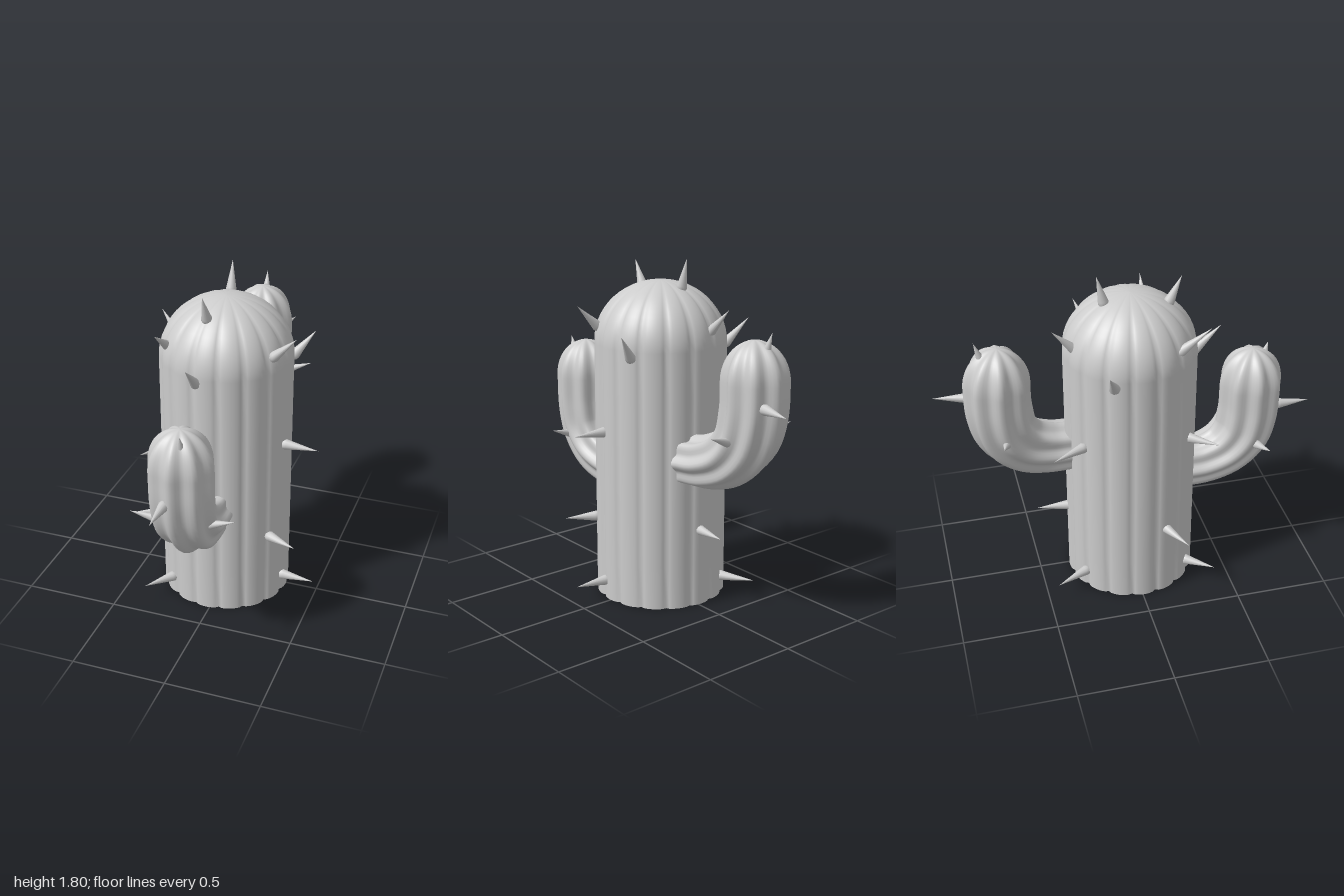
import * as THREE from 'three';

const material = new THREE.MeshStandardMaterial({ color: 0xcccccc, side: THREE.DoubleSide });
const V = (x, y, z) => new THREE.Vector3(x, y, z);

// Ribbed tube along a curve, widening from r0 to r1 and closed by a dome at its end
function ribbedStem(name, curve, { r0, r1, dome, sides, straight, rib }) {
  const rings = [];
  for (let i = 0; i < straight; i++) {
    const k = i / straight;
    rings.push([k * (1 - dome), THREE.MathUtils.lerp(r0, r1, THREE.MathUtils.smoothstep(k, 0, 0.8))]);
  }
  const domeSteps = 14;
  for (let i = 0; i <= domeSteps; i++) {
    const a = (i / domeSteps) * Math.PI / 2;
    rings.push([Math.min(1, 1 - dome + dome * Math.sin(a)), r1 * Math.cos(a) + 1e-4]);
  }
  const pos = [], index = [];
  rings.forEach(([t, r], i) => {
    const c = curve.getPointAt(t), T = curve.getTangentAt(t);
    const S = V(1, 0, 0).addScaledVector(T, -T.x).normalize();
    const B = T.clone().cross(S);
    for (let j = 0; j < sides; j++) {
      const a = (j / sides) * Math.PI * 2, q = r * rib(a);
      const p = c.clone().addScaledVector(S, q * Math.cos(a)).addScaledVector(B, q * Math.sin(a));
      pos.push(p.x, p.y, p.z);
      if (i === rings.length - 1) continue;
      const k = (j + 1) % sides, lo = i * sides, hi = lo + sides;
      index.push(lo + j, lo + k, hi + j, lo + k, hi + k, hi + j);
    }
  });
  const g = new THREE.BufferGeometry();
  g.setAttribute('position', new THREE.Float32BufferAttribute(pos, 3));
  g.setIndex(index);
  g.computeVertexNormals();
  const mesh = new THREE.Mesh(g, material);
  mesh.name = name;
  return mesh;
}

// Thorn with a rounded root, pointing from base to tip
function thorn(base, tip, r = 0.028) {
  const a = V(...base), d = V(...tip).sub(a), len = d.length();
  const profile = [[0, -r], [0.5 * r, -0.85 * r], [0.87 * r, -0.5 * r], [r, 0], [0.92 * r, 0.5 * r], [0, len]];
  const mesh = new THREE.Mesh(
    new THREE.LatheGeometry(profile.map(p => new THREE.Vector2(...p)), 12), material);
  mesh.position.copy(a);
  mesh.quaternion.setFromUnitVectors(V(0, 1, 0), d.normalize());
  mesh.name = 'thorn';
  return mesh;
}

export function createModel() {
  const group = new THREE.Group();
  group.name = 'cactus';

  // Trunk: 16 rounded ribs with narrow creases
  const cx = -0.02, cz = 0.008, R = 0.346;
  const trunkRib = a => 0.955 + 0.045 * Math.sqrt(Math.abs(Math.cos(8 * a)));
  group.add(ribbedStem('trunk', new THREE.LineCurve3(V(cx, 0, cz), V(cx, 1.68, cz)),
    { r0: R, r1: R, dome: 0.19, sides: 128, straight: 6, rib: trunkRib }));

  // Flat underside following the ribs
  const outline = [];
  for (let j = 0; j < 128; j++) {
    const a = (j / 128) * Math.PI * 2, q = R * trunkRib(a);
    outline.push(new THREE.Vector2(q * Math.cos(a), q * Math.sin(a)));
  }
  const underside = new THREE.Mesh(new THREE.ShapeGeometry(new THREE.Shape(outline)), material);
  underside.rotation.x = Math.PI / 2;
  underside.position.set(cx, 0, cz);
  underside.name = 'underside';
  group.add(underside);

  // Arms: eight soft lobes, bending outward then up
  const armRib = a => 0.92 + 0.08 * Math.cos(8 * a);
  const arm = (name, pts) => ribbedStem(name, new THREE.CatmullRomCurve3(pts.map(p => V(...p))),
    { r0: 0.137, r1: 0.17, dome: 0.22, sides: 64, straight: 24, rib: armRib });
  group.add(arm('frontArm', [[-0.015, 0.6, 0.28], [-0.015, 0.61, 0.42], [-0.015, 0.665, 0.55],
    [-0.017, 0.77, 0.635], [-0.018, 0.9, 0.665], [-0.018, 1.05, 0.67], [-0.018, 1.265, 0.675]]));
  group.add(arm('backArm', [[0.025, 0.795, -0.285], [0.01, 0.81, -0.42], [-0.015, 0.865, -0.55],
    [-0.035, 0.965, -0.64], [-0.045, 1.1, -0.675], [-0.047, 1.25, -0.68], [-0.047, 1.467, -0.668]]));

  // Trunk thorns: rings of three, levels repeated at two heights
  const thorns = new THREE.Group();
  thorns.name = 'thorns';
  const add = (base, tip, r) => thorns.add(thorn(base, tip, r));
  for (const y of [0.095, 0.915]) {
    add([0.315, y, 0.055], [0.497, y, 0.07]);
    add([-0.24, y, 0.27], [-0.35, y, 0.41]);
    add([-0.2, y, -0.28], [-0.29, y, -0.45]);
  }
  add([-0.33, 0.415, 0.13], [-0.5, 0.415, 0.21]);
  add([0.28, 0.415, 0.18], [0.436, 0.415, 0.25]);
  add([-0.01, 0.415, -0.325], [0, 0.415, -0.504]);

  // Thorns around the dome
  add([-0.065, 1.335, 0.34], [-0.066, 1.46, 0.475]);
  add([0.295, 1.335, -0.145], [0.392, 1.46, -0.2]);
  add([-0.34, 1.335, -0.145], [-0.455, 1.464, -0.195]);
  add([0.275, 1.45, 0.155], [0.392, 1.563, 0.165]);
  add([-0.26, 1.45, 0.205], [-0.268, 1.564, 0.36]);
  add([-0.1, 1.44, -0.29], [-0.12, 1.564, -0.407]);
  add([-0.055, 1.62, 0.2], [-0.055, 1.757, 0.263]);
  add([-0.045, 1.65, -0.13], [-0.048, 1.8, -0.166]);

  // Arm thorns
  add([-0.05, 0.92, 0.82], [-0.05, 0.92, 0.998]);
  add([0.12, 0.745, 0.645], [0.244, 0.78, 0.64], 0.024);
  add([-0.155, 0.745, 0.68], [-0.278, 0.78, 0.71], 0.024);
  add([0.012, 1.2, 0.745], [0.015, 1.276, 0.767], 0.022);
  add([0.02, 1.164, -0.82], [0.055, 1.164, -0.998]);
  add([0.11, 0.985, -0.66], [0.24, 1.03, -0.69], 0.024);
  add([-0.175, 0.985, -0.66], [-0.29, 1.03, -0.69], 0.024);
  add([-0.05, 1.41, -0.745], [-0.055, 1.516, -0.78], 0.024);
  group.add(thorns);
  return group;
}
